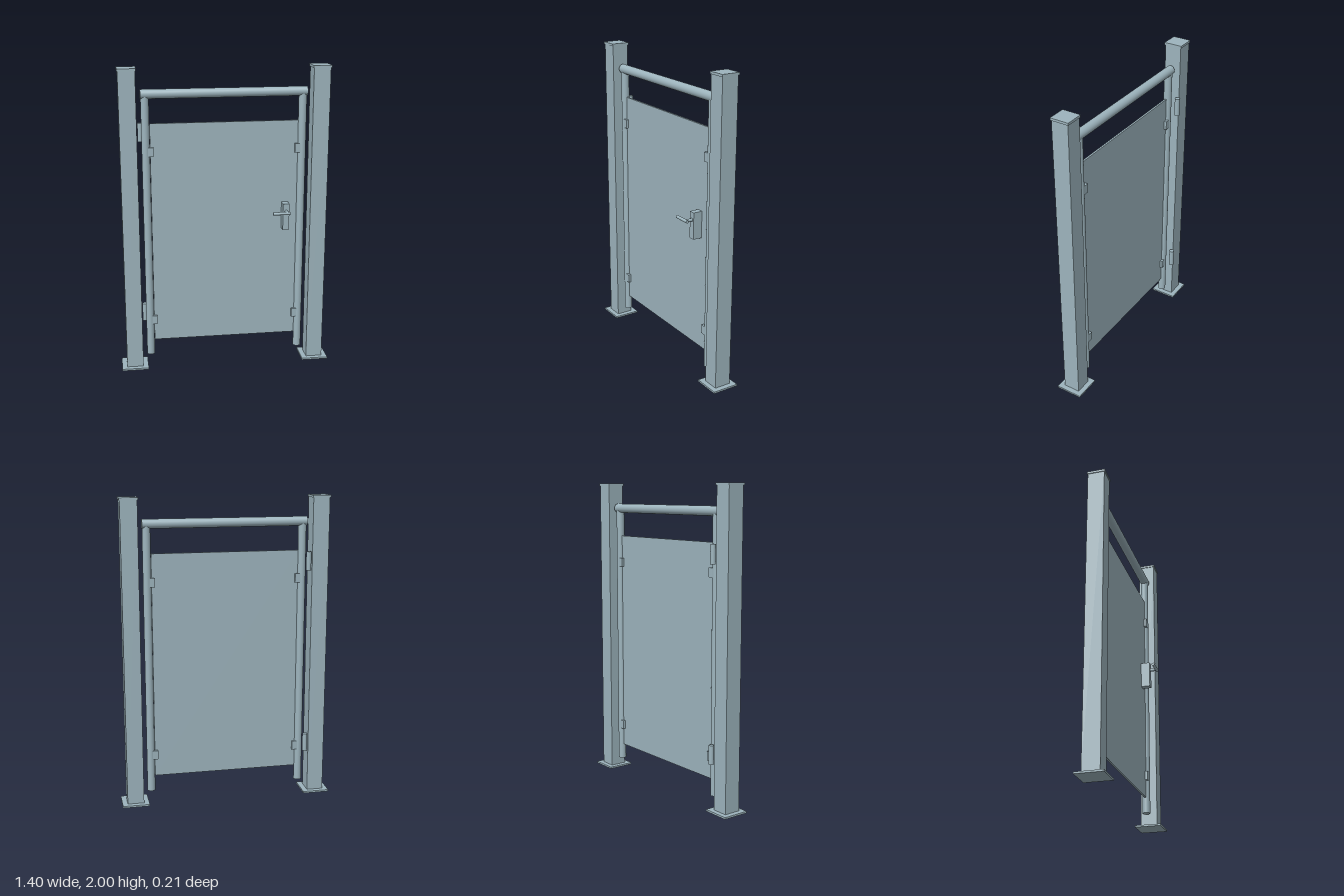
import * as THREE from 'three';

export function createModel() {
  const gate = new THREE.Group();
  gate.name = 'gate';
  const steel = new THREE.MeshStandardMaterial({ color: 0x9db4bd });
  steel.name = 'blue grey steel';
  const Z = -0.018; // centre plane of the gate

  const add = (name, geometry, x, y, z) => {
    const mesh = new THREE.Mesh(geometry, steel);
    mesh.name = name;
    mesh.position.set(x, y, z);
    gate.add(mesh);
    return mesh;
  };
  const box = (name, w, h, d, x, y, z) => add(name, new THREE.BoxGeometry(w, h, d), x, y, z);
  const rod = (name, r, length, x, y, z) => add(name, new THREE.CylinderGeometry(r, r, length, 32), x, y, z);

  for (const side of [-1, 1]) {
    // Square post with foot plate and slightly overhanging cap
    const x = side * 0.612;
    box('footPlate', 0.176, 0.012, 0.176, x, 0.006, Z);
    box('post', 0.108, 1.975, 0.11, x, 0.9995, Z);
    box('postCap', 0.118, 0.015, 0.12, x, 1.9925, Z);

    // Round upright of the moving leaf
    rod('upright', 0.026, 1.75, side * 0.502, 0.955, -0.02);

    // Clips holding the panel
    for (const y of [0.327, 1.47]) {
      box('panelClip', 0.035, 0.058, 0.046, side * 0.4725, y, -0.02);
    }
  }

  // Top rail and infill panel
  rod('topRail', 0.03, 1.06, 0, 1.835, -0.02).rotation.z = Math.PI / 2;
  box('panel', 0.95, 1.47, 0.012, 0, 0.915, -0.02);

  // Hinge barrels behind the post
  for (const y of [0.36, 1.585]) rod('hinge', 0.0165, 0.12, -0.533, y, -0.076);

  // Lock case with lever handle
  box('lockCase', 0.042, 0.175, 0.06, 0.396, 1.0225, 0.016);
  rod('handleNeck', 0.01, 0.05, 0.396, 1.06, 0.067).rotation.x = Math.PI / 2;
  rod('handleLever', 0.01, 0.112, 0.357, 1.06, 0.09).rotation.z = Math.PI / 2;

  return gate;
}
